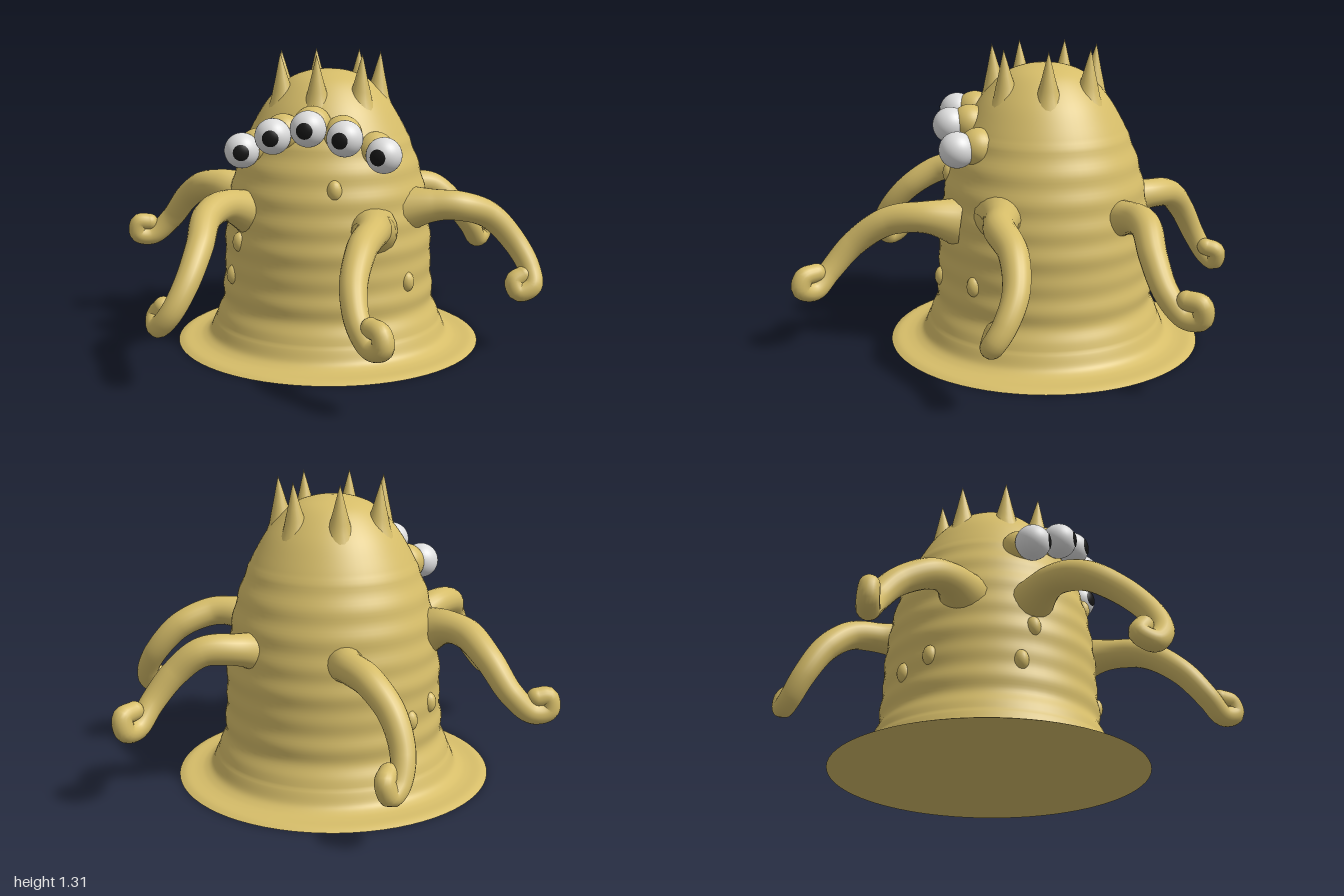
import * as THREE from 'three';

const skin = new THREE.MeshStandardMaterial({ color: 0xd6bd69 });
skin.name = 'mustard skin';
const eyeWhite = new THREE.MeshStandardMaterial({ color: 0xdedede });
eyeWhite.name = 'eye white';
const pupilBlack = new THREE.MeshStandardMaterial({ color: 0x161616 });
pupilBlack.name = 'pupil black';

const CX = 0.015, CZ = -0.12; // body axis

// Body outline as [radius, height], from the foot rim to the crown
const OUTLINE = [
  [0.69, 0], [0.66, 0.012], [0.61, 0.016], [0.575, 0.024], [0.545, 0.045], [0.525, 0.09], [0.502, 0.14],
  [0.482, 0.2], [0.478, 0.28], [0.47, 0.36], [0.47, 0.44], [0.465, 0.52], [0.455, 0.6], [0.44, 0.7],
  [0.415, 0.8], [0.38, 0.9], [0.333, 1.0], [0.27, 1.1], [0.18, 1.19], [0.09, 1.228], [0, 1.238],
];

function radiusAt(y) {
  const i = Math.max(1, OUTLINE.findIndex((p) => p[1] >= y));
  const [r0, y0] = OUTLINE[i - 1], [r1, y1] = OUTLINE[i];
  return r0 + (r1 - r0) * (y - y0) / (y1 - y0);
}

function add(parent, name, geometry, material, x = 0, y = 0, z = 0) {
  const mesh = new THREE.Mesh(geometry, material);
  mesh.name = name;
  mesh.position.set(x, y, z);
  parent.add(mesh);
  return mesh;
}

// Tapered tentacle along a path, flared at the root and rounded at the tip
function tentacle(parent, name, path) {
  const curve = new THREE.CatmullRomCurve3(path.map((p) => new THREE.Vector3(...p)), false, 'centripetal');
  const steps = 90, sides = 20;
  const radius = (u) => 0.066 - 0.026 * Math.max(0, (u - 0.25) / 0.75) + 0.05 * Math.max(0, 1 - u / 0.22) ** 2;
  const geometry = new THREE.TubeGeometry(curve, steps, 1, sides);
  const pos = geometry.attributes.position, v = new THREE.Vector3();
  for (let i = 0; i <= steps; i++) {
    const centre = curve.getPointAt(i / steps), r = radius(i / steps);
    for (let j = 0; j <= sides; j++) {
      const k = i * (sides + 1) + j;
      v.fromBufferAttribute(pos, k).sub(centre).multiplyScalar(r).add(centre);
      pos.setXYZ(k, v.x, v.y, v.z);
    }
  }
  const group = new THREE.Group();
  group.name = name;
  add(group, 'tentacleArm', geometry, skin);
  const tip = curve.getPointAt(1);
  add(group, 'tentacleTip', new THREE.SphereGeometry(radius(1), 20, 14), skin, tip.x, tip.y, tip.z);
  parent.add(group);
}

export function createModel() {
  const model = new THREE.Group();
  model.name = 'tentacledCreature';

  // Body with spreading foot and faint ripples
  const outline = new THREE.SplineCurve(OUTLINE.map((p) => new THREE.Vector2(...p))).getPoints(120);
  outline.forEach((p) => {
    p.x = Math.max(0, p.x);
    p.y = Math.max(0, p.y);
    if (p.y > 0.1 && p.y < 0.95) p.x += 0.003 * Math.sin(p.y * 55);
  });
  add(model, 'body', new THREE.LatheGeometry(outline, 72), skin, CX, 0, CZ);
  add(model, 'footSole', new THREE.CircleGeometry(0.69, 72), skin, CX, 0, CZ).rotation.x = Math.PI / 2;

  // Crown of seven spikes
  const spike = new THREE.LatheGeometry(
    [[0.075, -0.05], [0.052, 0], [0.042, 0.04], [0.028, 0.09], [0.013, 0.15], [0, 0.2]].map((p) => new THREE.Vector2(...p)), 20);
  for (let k = 0; k < 7; k++) {
    const a = (k / 7) * Math.PI * 2;
    const mesh = add(model, 'crownSpike', spike, skin, CX + 0.222 * Math.sin(a), 1.115, CZ + 0.222 * Math.cos(a));
    mesh.rotation.set(0.06 * Math.cos(a), 0, -0.06 * Math.sin(a));
  }

  // Row of five eyes, each on a fleshy mound
  const R = 0.077;
  const eyes = [[-0.31, 0.905, 0.2], [-0.155, 0.98, 0.265], [0, 1.017, 0.272], [0.155, 0.98, 0.265], [0.31, 0.905, 0.2]];
  for (const [dx, y, z] of eyes) {
    const x = CX + dx;
    add(model, 'eyeMound', new THREE.SphereGeometry(0.083, 28, 20), skin, x - dx * 0.16, y + 0.005, z - 0.08);
    add(model, 'eyeball', new THREE.SphereGeometry(R, 32, 24), eyeWhite, x, y, z);
    const pupil = add(model, 'pupil', new THREE.SphereGeometry(R + 0.002, 28, 8, 0, Math.PI * 2, 0, 0.46), pupilBlack, x, y, z);
    const gaze = new THREE.Vector3(-dx * 0.75, 0, 1).normalize();
    pupil.quaternion.setFromUnitVectors(new THREE.Vector3(0, 1, 0), gaze);
  }

  // Six curling tentacles
  tentacle(model, 'leftTentacle', [
    [0.38, 0.64, 0], [0.5, 0.655, -0.02], [0.62, 0.655, -0.04], [0.75, 0.6, -0.12], [0.86, 0.48, -0.15],
    [0.93, 0.37, -0.12], [0.945, 0.3, -0.08], [0.89, 0.275, -0.06], [0.868, 0.32, -0.07], [0.905, 0.345, -0.09]]);
  tentacle(model, 'rightTentacle', [
    [-0.38, 0.66, -0.08], [-0.48, 0.69, -0.1], [-0.58, 0.68, -0.14], [-0.7, 0.6, -0.23], [-0.8, 0.48, -0.27],
    [-0.89, 0.4, -0.25], [-0.95, 0.41, -0.22], [-0.945, 0.465, -0.22], [-0.9, 0.465, -0.24]]);
  tentacle(model, 'frontLeftTentacle', [
    [0.27, 0.58, 0.2], [0.3, 0.6, 0.35], [0.29, 0.57, 0.52], [0.29, 0.46, 0.68], [0.33, 0.34, 0.78],
    [0.39, 0.27, 0.83], [0.44, 0.29, 0.87], [0.43, 0.34, 0.86], [0.385, 0.35, 0.82]]);
  tentacle(model, 'frontRightTentacle', [
    [-0.25, 0.62, 0.15], [-0.34, 0.68, 0.3], [-0.375, 0.66, 0.45], [-0.36, 0.57, 0.6], [-0.38, 0.44, 0.72],
    [-0.43, 0.33, 0.77], [-0.49, 0.27, 0.75], [-0.515, 0.3, 0.7], [-0.48, 0.345, 0.71]]);
  tentacle(model, 'backLeftTentacle', [
    [0.2, 0.6, -0.4], [0.3, 0.64, -0.53], [0.42, 0.64, -0.6], [0.53, 0.55, -0.64], [0.61, 0.43, -0.7],
    [0.64, 0.345, -0.78], [0.66, 0.35, -0.84], [0.67, 0.41, -0.84], [0.65, 0.42, -0.78]]);
  tentacle(model, 'backRightTentacle', [
    [-0.12, 0.6, -0.42], [-0.2, 0.62, -0.56], [-0.31, 0.6, -0.65], [-0.42, 0.5, -0.71], [-0.48, 0.36, -0.77],
    [-0.48, 0.26, -0.83], [-0.46, 0.235, -0.87], [-0.44, 0.29, -0.88], [-0.44, 0.31, -0.83]]);

  // Small warts: degrees round the body from the front, and height
  const wart = new THREE.SphereGeometry(0.032, 16, 12);
  for (const [deg, y] of [[25, 0.31], [60, 0.34], [16, 0.76], [-45, 0.5], [-52, 0.34], [-100, 0.38], [-118, 0.34]]) {
    const a = THREE.MathUtils.degToRad(deg), r = radiusAt(y) - 0.008;
    const mesh = add(model, 'wart', wart, skin, CX + r * Math.sin(a), y, CZ + r * Math.cos(a));
    mesh.scale.y = 1.4;
  }
  return model;
}
